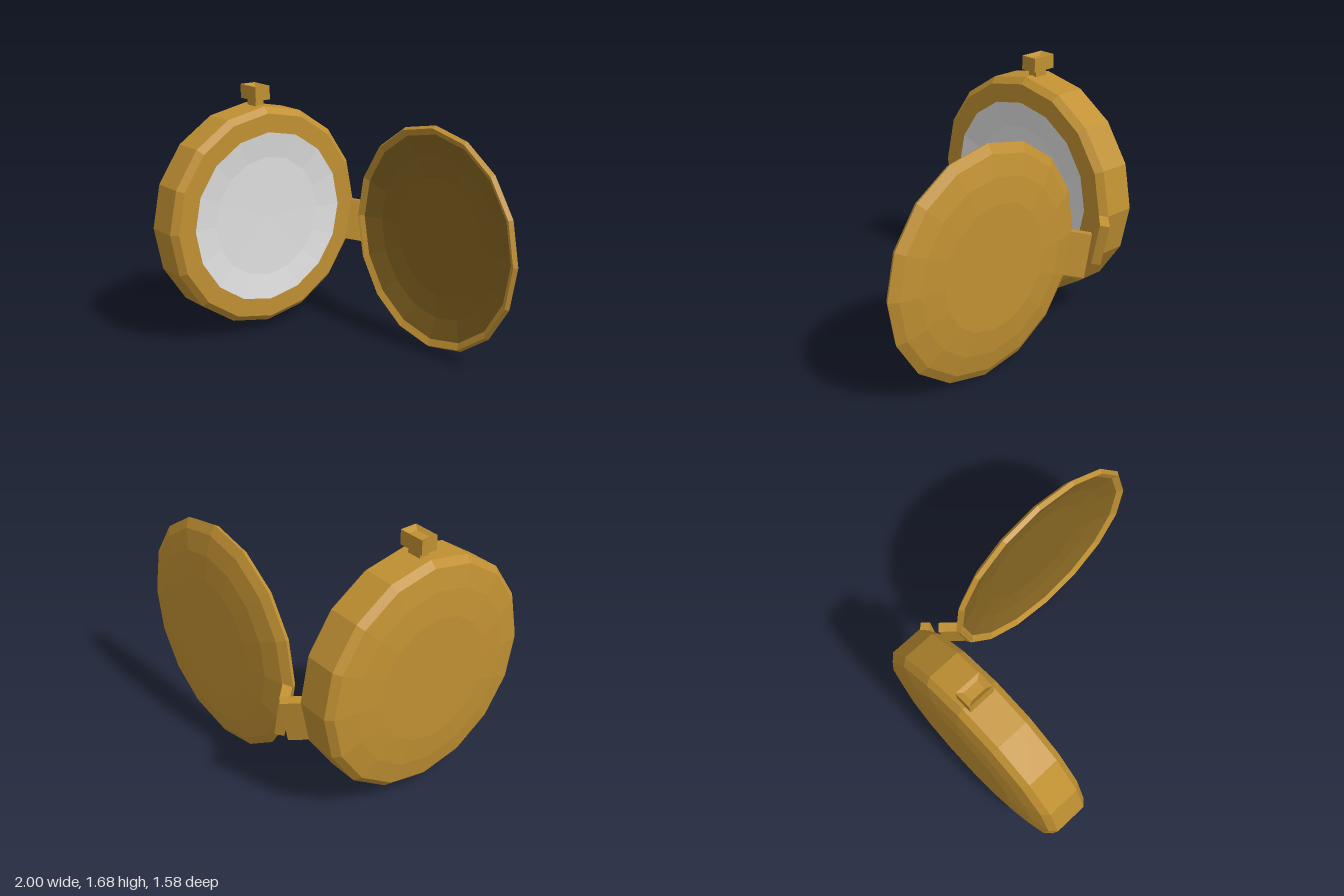
import * as THREE from 'three';

function paint(name, color) {
  const mat = new THREE.MeshStandardMaterial({ color });
  mat.name = name;
  return mat;
}
const gold = paint('gold', 0xc09032);
const darkGold = paint('dark gold', 0x846421);
const glass = paint('pale glass', 0xdedede);

// faceted solid of revolution: profile is [radius, height] from back to front
function turned(profile, sides = 16, phi = 0) {
  const pts = profile.map(([r, h]) => new THREE.Vector2(r, h));
  const geo = new THREE.LatheGeometry(pts, sides, phi).toNonIndexed();
  geo.computeVertexNormals();
  return geo;
}

export function createModel() {
  const model = new THREE.Group();
  model.name = 'openPocketWatch';

  function add(name, geo, mat, x = 0, y = 0, z = 0) {
    const mesh = new THREE.Mesh(geo, mat);
    mesh.name = name;
    mesh.position.set(x, y, z);
    model.add(mesh);
    return mesh;
  }

  // case, facing +x
  const caseGeo = turned([
    [0, -1], [0.4, -1], [0.57, -0.985], [0.705, -0.96], [0.746, -0.92],
    [0.746, -0.71], [0.705, -0.67], [0.58, -0.67],
  ]).rotateZ(-Math.PI / 2);
  add('watchCase', caseGeo, gold, 0, 0.805, 0.037);

  // slightly dished face
  const faceGeo = turned([[0.58, -0.67], [0.41, -0.692], [0, -0.698]]).rotateZ(-Math.PI / 2);
  add('watchFace', faceGeo, glass, 0, 0.805, 0.037);

  // lid shell with its rim, facing +z
  const lidGeo = turned([
    [0, -0.685], [0.4, -0.685], [0.56, -0.668], [0.69, -0.638], [0.748, -0.603],
    [0.732, -0.575], [0.69, -0.6],
  ]).rotateX(Math.PI / 2);
  add('lid', lidGeo, gold, 0.25, 0.75, 0);

  // darker hollow inside the lid
  const liningGeo = turned([
    [0.69, -0.6], [0.55, -0.637], [0.4, -0.655], [0, -0.655],
  ]).rotateX(Math.PI / 2);
  add('lidLining', liningGeo, darkGold, 0.25, 0.75, 0);

  // winding crown with a recessed top, on a short stem
  const q = Math.SQRT2;
  const crownGeo = turned([
    [0.55 * q, 1.5], [0.55 * q, 1.588], [q, 1.588], [q, 1.68],
    [0.58 * q, 1.66], [0, 1.66],
  ], 4, Math.PI / 4).scale(0.0875, 1, 0.056);
  add('crown', crownGeo, gold, -0.817, 0, 0.035);

  // hinge leaves follow one rim facet and lean 45 degrees outward
  function hinge(name, radial, axis, length, centre) {
    const lean = radial.clone().add(axis).normalize();
    const along = new THREE.Vector3().crossVectors(radial, axis).normalize();
    const across = new THREE.Vector3().crossVectors(lean, along);
    const leaf = add(name, new THREE.BoxGeometry(length, 0.285, 0.06), gold, ...centre);
    leaf.setRotationFromMatrix(new THREE.Matrix4().makeBasis(lean, along, across));
  }
  const a = Math.PI / 16;
  hinge('caseHinge', new THREE.Vector3(0, -Math.sin(a), -Math.cos(a)),
    new THREE.Vector3(1, 0, 0), 0.13, [-0.65, 0.66, -0.7]);
  hinge('lidHinge', new THREE.Vector3(-Math.cos(a), -Math.sin(a), 0),
    new THREE.Vector3(0, 0, -1), 0.16, [-0.473, 0.608, -0.653]);

  return model;
}
